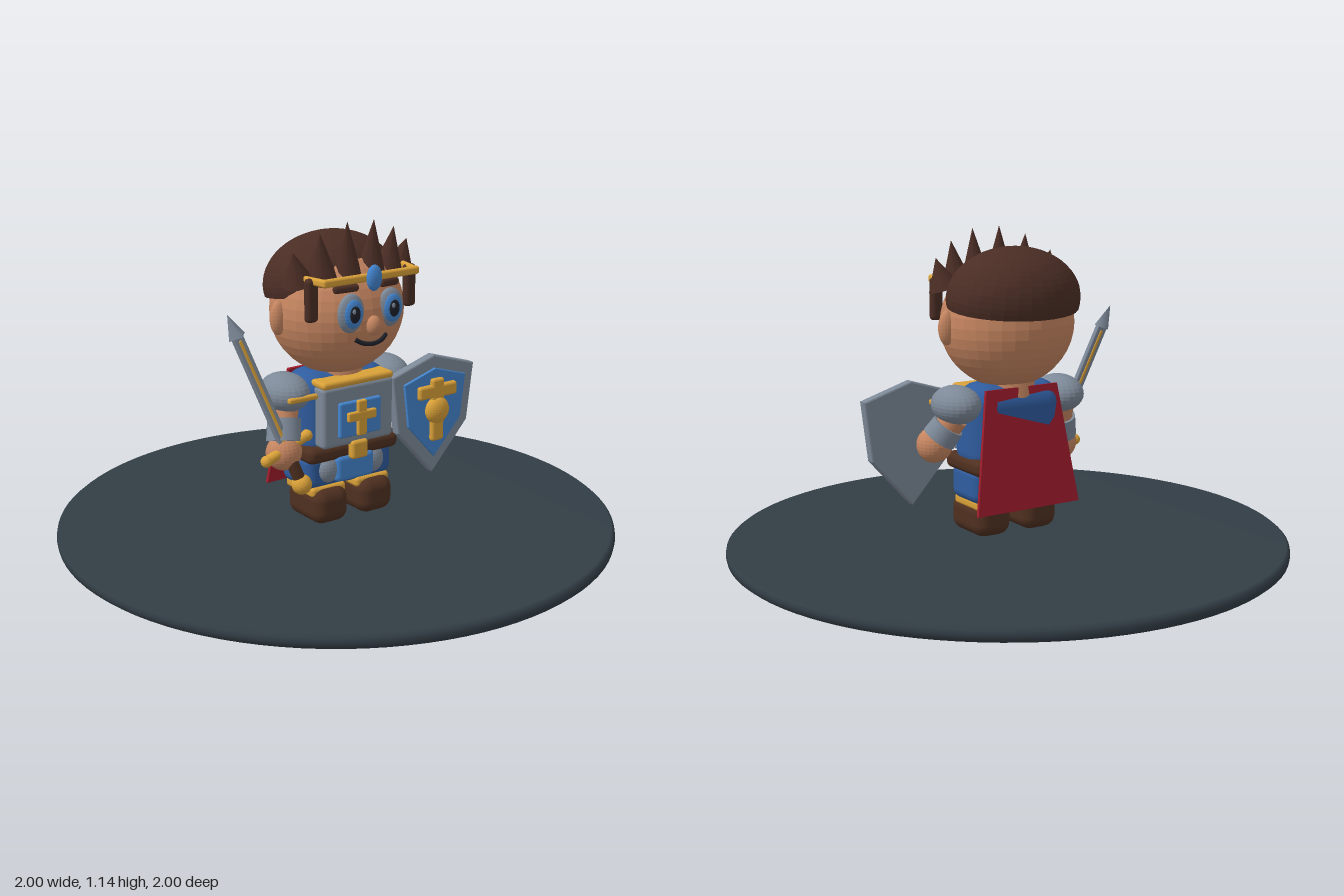
import * as THREE from 'three';
import { RoundedBoxGeometry } from 'three/addons/geometries/RoundedBoxGeometry.js';

const material = (name, color) => {
  const m = new THREE.MeshStandardMaterial({ color });
  m.name = name;
  return m;
};

export function createModel() {
  const skin = material('skin', 0xc58560), hair = material('hair brown', 0x4a2d24);
  const leather = material('leather', 0x4f3020), steel = material('steel', 0x7d8998);
  const blue = material('bright blue', 0x4385cf), navy = material('deep blue', 0x2f5c9e);
  const gold = material('gold', 0xd9a038), red = material('cape red', 0xa01c2c);
  const slate = material('slate', 0x323d45), dark = material('dark', 0x1d2028);

  const model = new THREE.Group();
  model.name = 'knight';

  // Helpers
  const add = (name, geo, mat, pos = [0, 0, 0], rot = [0, 0, 0], parent = model) => {
    const m = new THREE.Mesh(geo, mat);
    m.name = name;
    m.position.set(...pos);
    m.rotation.set(...rot);
    parent.add(m);
    return m;
  };
  const ellipsoid = (rx, ry, rz, w = 32, h = 20, theta = Math.PI) => {
    const g = new THREE.SphereGeometry(1, w, h, 0, Math.PI * 2, 0, theta).scale(rx, ry, rz).toNonIndexed();
    g.computeVertexNormals();
    return g;
  };
  const box = (w, h, d, r = 0.008) => new RoundedBoxGeometry(w, h, d, 3, r);
  const rod = (name, a, b, r0, r1, mat, sides = 16, parent = model) => {
    const p = new THREE.Vector3(...a), q = new THREE.Vector3(...b);
    const m = add(name, new THREE.CylinderGeometry(r1, r0, p.distanceTo(q), sides), mat, [0, 0, 0], [0, 0, 0], parent);
    m.position.copy(p).lerp(q, 0.5);
    m.quaternion.setFromUnitVectors(new THREE.Vector3(0, 1, 0), q.sub(p).normalize());
    return m;
  };
  const slab = (points, depth, bevel) => {
    const shape = new THREE.Shape(points.map(([x, y]) => new THREE.Vector2(x, y)));
    return new THREE.ExtrudeGeometry(shape, {
      depth, bevelEnabled: bevel > 0, bevelSize: bevel, bevelThickness: bevel, bevelOffset: -bevel, bevelSegments: 2,
    });
  };

  // Round stand
  const rim = [[0, 0], [0.985, 0], [0.997, 0.01], [1, 0.025], [0.997, 0.04], [0.985, 0.05], [0, 0.05]];
  add('stand', new THREE.LatheGeometry(rim.map(([x, y]) => new THREE.Vector2(x, y)), 96), slate);

  // Boots and legs
  for (const s of [-1, 1]) {
    add('boot', box(0.145, 0.13, 0.21, 0.045), leather, [s * 0.097, 0.13, 0.027]);
    add('leg', new THREE.CylinderGeometry(0.06, 0.06, 0.12, 20), navy, [s * 0.095, 0.22, 0.01]);
    add('bootCuff', box(0.145, 0.038, 0.175, 0.014), gold, [s * 0.095, 0.183, 0.01]);
  }

  // Body, skirt and belt
  add('torso', box(0.37, 0.32, 0.21, 0.08), navy, [0, 0.45, 0]);
  add('neck', new THREE.CylinderGeometry(0.09, 0.1, 0.07, 24), skin, [0, 0.595, 0]);
  add('skirt', box(0.37, 0.13, 0.18, 0.035), navy, [0, 0.255, 0.005]);
  add('skirtPanel', box(0.165, 0.1, 0.05, 0.02), blue, [0, 0.262, 0.1]);
  for (const s of [-1, 1]) add('hipPlate', ellipsoid(0.045, 0.05, 0.03, 20, 12), steel, [s * 0.095, 0.262, 0.09]);
  add('belt', box(0.385, 0.06, 0.236, 0.025), leather, [0, 0.325, 0.003]);
  add('buckle', box(0.07, 0.068, 0.035, 0.012), gold, [0, 0.332, 0.135]);

  // Breastplate with cross
  add('breastplate', box(0.3, 0.22, 0.07, 0.015), steel, [0, 0.462, 0.105]);
  add('collarTrim', box(0.3, 0.026, 0.085, 0.012), gold, [0, 0.58, 0.1]);
  add('chestPanel', box(0.178, 0.128, 0.02, 0.008), blue, [0, 0.45, 0.142]);
  add('chestCrossUpright', box(0.038, 0.128, 0.018, 0.006), gold, [0, 0.452, 0.155]);
  add('chestCrossBar', box(0.12, 0.034, 0.018, 0.006), gold, [0, 0.46, 0.156]);

  // Cape, leaning back towards the hem
  const cape = slab([[-0.215, -0.43], [0.215, -0.43], [0.15, 0], [-0.15, 0]], 0.012, 0);
  add('cape', cape, red, [0, 0.598, -0.092], [0.115, 0.035, 0]);

  // Shoulders, arms and hands
  const hands = { '-1': [-0.255, 0.345, 0.05], 1: [0.275, 0.4, 0.045] };
  for (const s of [-1, 1]) {
    const shoulder = [s * 0.22, 0.5, 0], hand = hands[s];
    add('shoulderGuard', ellipsoid(0.083, 0.068, 0.105, 24, 16), steel, [s * 0.215, 0.543, -0.003]);
    add('shoulderTrim', box(0.12, 0.02, 0.02, 0.008), gold, [s * 0.205, 0.54, 0.096]);
    rod('arm', shoulder, hand, 0.05, 0.047, skin, 20);
    const at = (t) => shoulder.map((v, i) => v + (hand[i] - v) * t);
    rod('bracer', at(0.3), at(0.78), 0.058, 0.062, steel, 20);
    add('hand', ellipsoid(0.065, 0.064, 0.06, 24, 16), skin, hand);
  }

  // Sword: local y runs along the blade, origin at the guard
  const sword = new THREE.Group();
  sword.name = 'sword';
  sword.position.set(-0.262, 0.365, 0.075);
  sword.rotation.set(-0.19, 0, 0.333);
  model.add(sword);
  add('blade', box(0.042, 0.44, 0.02, 0.005), steel, [0, 0.22, 0], [0, 0, 0], sword);
  add('bladeInlay', box(0.012, 0.4, 0.026, 0.003), gold, [0, 0.22, 0], [0, 0, 0], sword);
  add('bladeTip', new THREE.ConeGeometry(0.034, 0.085, 4), steel, [0, 0.475, 0], [0, 0, 0], sword);
  rod('guard', [-0.085, 0, 0], [0.095, 0, 0], 0.018, 0.018, gold, 16, sword);
  for (const x of [-0.088, 0.096]) add('guardKnob', ellipsoid(0.021, 0.021, 0.021, 16, 10), gold, [x, 0, 0], [0, 0, 0], sword);
  rod('grip', [0, -0.13, 0], [0, 0, 0], 0.022, 0.022, leather, 16, sword);
  add('pommel', ellipsoid(0.036, 0.036, 0.036, 20, 12), gold, [0, -0.142, 0], [0, 0, 0], sword);

  // Shield
  const shield = new THREE.Group();
  shield.name = 'shield';
  shield.position.set(0.33, 0.42, 0.105);
  model.add(shield);
  const outline = [[0, 0.2], [-0.185, 0.143], [-0.158, -0.07], [0, -0.245], [0.158, -0.07], [0.185, 0.143]].reverse();
  add('shieldPlate', slab(outline, 0.025, 0.006), steel, [0, 0, 0.006], [0, 0, 0], shield);
  const field = outline.map(([x, y]) => [x * 0.75, y * 0.75 + 0.003]);
  add('shieldField', slab(field, 0.008, 0.003), blue, [0, 0, 0.036], [0, 0, 0], shield);
  add('shieldCrossUpright', box(0.056, 0.235, 0.024, 0.011), gold, [0, 0.002, 0.056], [0, 0, 0], shield);
  add('shieldCrossBar', box(0.172, 0.05, 0.024, 0.011), gold, [0, 0.072, 0.056], [0, 0, 0], shield);
  add('shieldBoss', ellipsoid(0.05, 0.05, 0.03, 24, 16), gold, [0, 0, 0.058], [0, 0, 0], shield);

  // Head and face
  add('head', ellipsoid(0.245, 0.23, 0.215), skin, [0, 0.815, 0.005]);
  add('nose', ellipsoid(0.028, 0.035, 0.024, 20, 14), skin, [0, 0.795, 0.222]);
  for (const s of [-1, 1]) {
    add('ear', ellipsoid(0.032, 0.06, 0.025, 20, 14), skin, [s * 0.244, 0.812, 0.007]);
    const eye = new THREE.Group();
    eye.name = 'eye';
    eye.position.set(s * 0.082, 0.845, 0.203);
    model.add(eye);
    add('eyeball', ellipsoid(0.053, 0.068, 0.024, 24, 16), steel, [0, 0, 0], [0, 0, 0], eye);
    add('iris', ellipsoid(0.038, 0.05, 0.014, 24, 12), blue, [0, 0, 0.015], [0, 0, 0], eye);
    add('pupil', ellipsoid(0.022, 0.03, 0.008, 20, 10), dark, [0, 0, 0.025], [0, 0, 0], eye);
    add('eyeGlint', ellipsoid(0.007, 0.009, 0.004, 12, 8), steel, [-0.008, 0.012, 0.032], [0, 0, 0], eye);
    add('eyebrow', box(0.09, 0.026, 0.025, 0.01), hair, [s * 0.09, 0.927, 0.185], [0, s * 0.25, s * -0.05]);
    add('sideburn', box(0.046, 0.15, 0.032, 0.014), hair, [s * 0.205, 0.895, 0.148]);
  }
  const smile = [[-0.065, 0.752, 0.203], [-0.038, 0.737, 0.213], [0, 0.731, 0.218], [0.038, 0.737, 0.213], [0.065, 0.752, 0.203]];
  const smileCurve = new THREE.CatmullRomCurve3(smile.map((p) => new THREE.Vector3(...p)));
  add('mouth', new THREE.TubeGeometry(smileCurve, 20, 0.008, 8), dark);

  // Hair cap with a row of spikes along the front
  const cap = new THREE.Group();
  cap.name = 'hairCap';
  cap.position.set(0, 0.905, -0.037);
  cap.rotation.x = -0.14;
  model.add(cap);
  add('hairDome', ellipsoid(0.25, 0.178, 0.192, 32, 16, Math.PI * 0.56), hair, [0, 0, 0], [0, 0, 0], cap);
  const under = new THREE.CircleGeometry(1, 32).rotateX(Math.PI / 2).scale(0.245, 1, 0.188);
  add('hairUnderside', under, hair, [0, -0.033, 0], [0, 0, 0], cap);
  const tips = [[-0.235, 1.05], [-0.147, 1.11], [-0.047, 1.142], [0.065, 1.138], [0.165, 1.1], [0.243, 1.045]];
  for (const [x, y] of tips) {
    const z = 0.135 - x * x * 0.9;
    rod('hairSpike', [x * 0.88, 0.94, z - 0.01], [x, y, z], 0.058, 0, hair, 10);
  }

  // Crown band with jewel
  add('crownFront', box(0.4, 0.028, 0.022, 0.009), gold, [0, 0.96, 0.205]);
  for (const s of [-1, 1]) {
    add('crownSide', box(0.022, 0.026, 0.135, 0.009), gold, [s * 0.2, 0.96, 0.145], [0, s * -0.2, 0]);
    add('crownEnd', box(0.034, 0.038, 0.026, 0.01), gold, [s * 0.212, 0.96, 0.09]);
  }
  add('crownJewel', ellipsoid(0.03, 0.045, 0.018, 20, 14), blue, [0, 0.96, 0.223]);

  return model;
}
